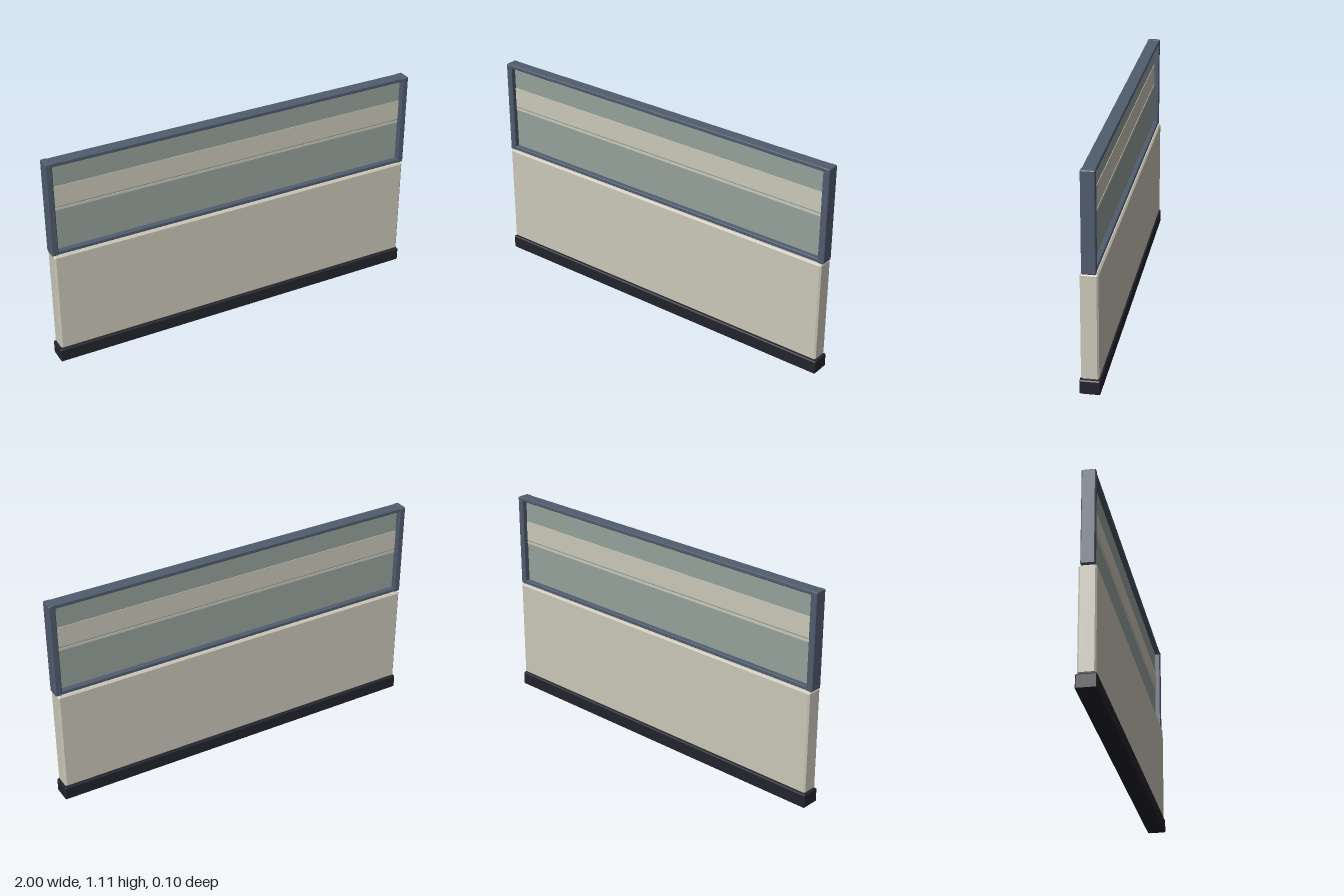
import * as THREE from 'three';
import { ConvexGeometry } from 'three/addons/geometries/ConvexGeometry.js';

// Box with every edge chamfered by c
function chamferBox(w, h, d, c) {
  const pts = [];
  for (const sx of [-1, 1]) for (const sy of [-1, 1]) for (const sz of [-1, 1]) {
    const x = w / 2, y = h / 2, z = d / 2;
    pts.push(
      new THREE.Vector3(sx * x, sy * (y - c), sz * (z - c)),
      new THREE.Vector3(sx * (x - c), sy * y, sz * (z - c)),
      new THREE.Vector3(sx * (x - c), sy * (y - c), sz * z));
  }
  return new ConvexGeometry(pts);
}

export function createModel() {
  const group = new THREE.Group();
  const mat = (name, color) => {
    const m = new THREE.MeshStandardMaterial({ color });
    m.name = name;
    return m;
  };
  const plinthDark = mat('plinthDark', 0x23232d);
  const cream = mat('cream', 0xcbc7b9);
  const slate = mat('slate', 0x505c6e);
  const glassGreen = mat('glassGreen', 0x96a29b);

  const add = (name, geometry, material, x, y, z = 0) => {
    const mesh = new THREE.Mesh(geometry, material);
    mesh.name = name;
    mesh.position.set(x, y, z);
    group.add(mesh);
  };

  // Lower wall
  add('plinth', chamferBox(2, 0.072, 0.098, 0.005), plinthDark, 0, 0.036);
  add('lowerPanel', chamferBox(1.986, 0.536, 0.085, 0.008), cream, 0, 0.341);

  // Window frame
  for (const s of [-1, 1])
    add(s > 0 ? 'leftPost' : 'rightPost', chamferBox(0.034, 0.496, 0.067, 0.004), slate, s * 0.983, 0.858);
  add('bottomRail', chamferBox(1.94, 0.02, 0.062, 0.003), slate, 0, 0.621);
  add('topRail', chamferBox(1.94, 0.02, 0.062, 0.003), slate, 0, 1.095);

  // Glass pane with frosted bands on both faces
  add('glass', new THREE.BoxGeometry(1.936, 0.47, 0.012), glassGreen, 0, 0.858);
  for (const s of [-1, 1]) {
    add('wideBand', new THREE.BoxGeometry(1.934, 0.107, 0.003), cream, 0, 0.9145, s * 0.007);
    add('thinBand', new THREE.BoxGeometry(1.934, 0.012, 0.003), cream, 0, 0.847, s * 0.007);
  }
  return group;
}
